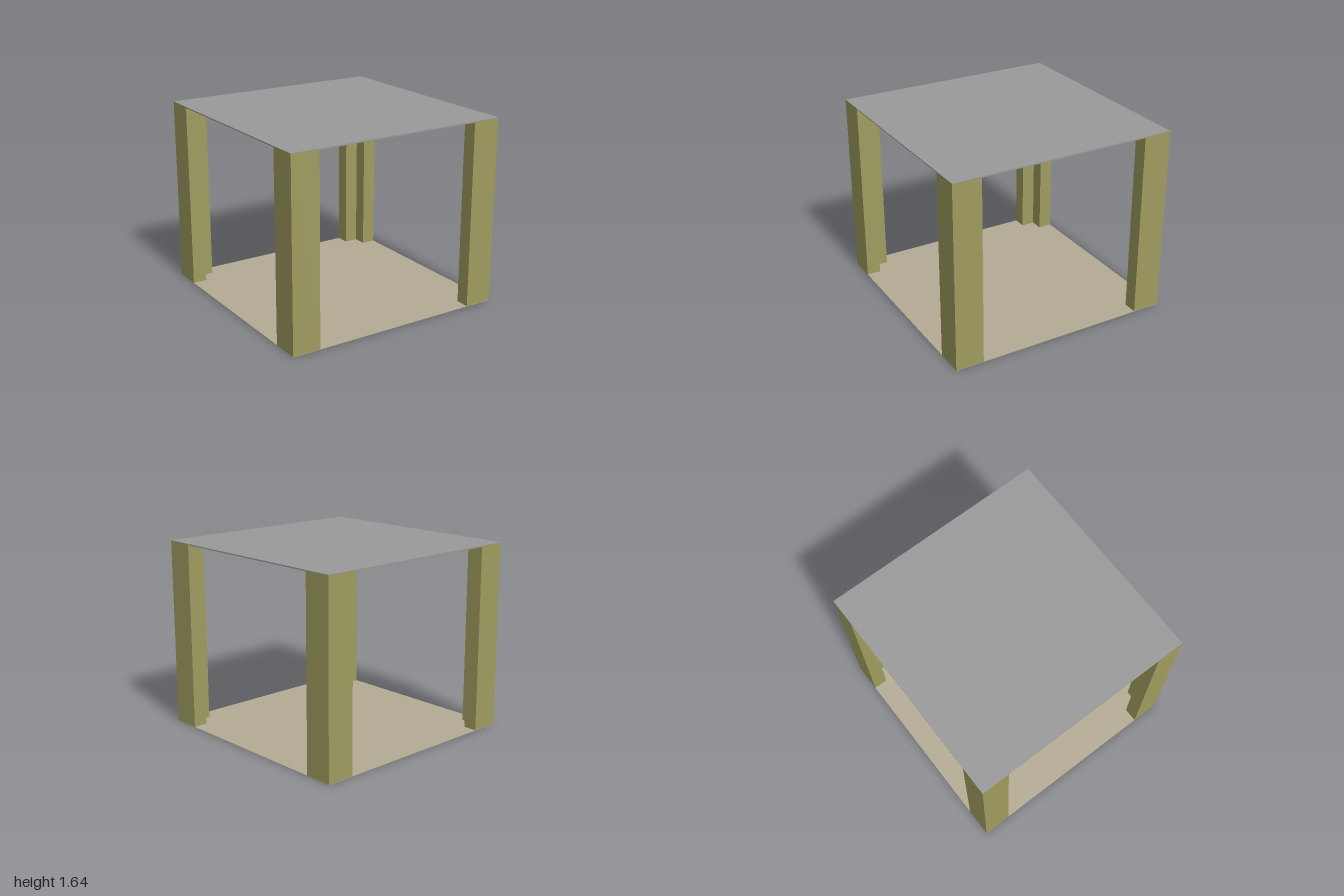
import * as THREE from 'three';

const HEIGHT = 1.645;

export function createModel() {
  const model = new THREE.Group();
  model.name = 'openPavilion';

  const material = (name, color) => {
    const m = new THREE.MeshStandardMaterial({ color });
    m.name = name;
    return m;
  };
  const olive = material('olive', 0x9f9c5f);
  const grey = material('grey', 0x999999);
  const beige = material('beige', 0xb4ab94);
  const paleGrey = material('paleGrey', 0xd2d2d2);

  // Box given by its lower and upper corners
  const addBox = (name, mat, [x0, y0, z0], [x1, y1, z1]) => {
    const mesh = new THREE.Mesh(new THREE.BoxGeometry(x1 - x0, y1 - y0, z1 - z0), mat);
    mesh.position.set((x0 + x1) / 2, (y0 + y1) / 2, (z0 + z1) / 2);
    mesh.name = name;
    model.add(mesh);
  };

  // Floor and roof: thin sheets, with a ceiling slab just inside the post faces
  addBox('floor', beige, [-1, 0, -1], [1, 0.004, 1]);
  addBox('roof', grey, [-1, HEIGHT - 0.004, -1], [1, HEIGHT, 1]);
  addBox('ceiling', grey, [-0.997, 1.633, -0.997], [0.997, HEIGHT - 0.004, 0.997]);

  // Off-centre light panel under the ceiling
  addBox('ceilingPanel', paleGrey, [-0.125, 1.618, -0.25], [0.25, 1.633, 0.375]);

  // L-shaped corner post, turned a quarter for each corner
  const profile = new THREE.Shape([
    [-1, -1], [-0.75, -1], [-0.75, -0.875], [-0.875, -0.875], [-0.875, -0.75], [-1, -0.75],
  ].map(([x, y]) => new THREE.Vector2(x, y)));
  const postGeometry = new THREE.ExtrudeGeometry(profile, { depth: HEIGHT - 0.008, bevelEnabled: false });
  postGeometry.rotateX(-Math.PI / 2);
  postGeometry.translate(0, 0.004, 0);
  const names = ['frontRightPost', 'frontLeftPost', 'backLeftPost', 'backRightPost'];
  names.forEach((name, i) => {
    const post = new THREE.Mesh(postGeometry, olive);
    post.rotation.y = i * Math.PI / 2;
    post.name = name;
    model.add(post);
  });

  return model;
}
